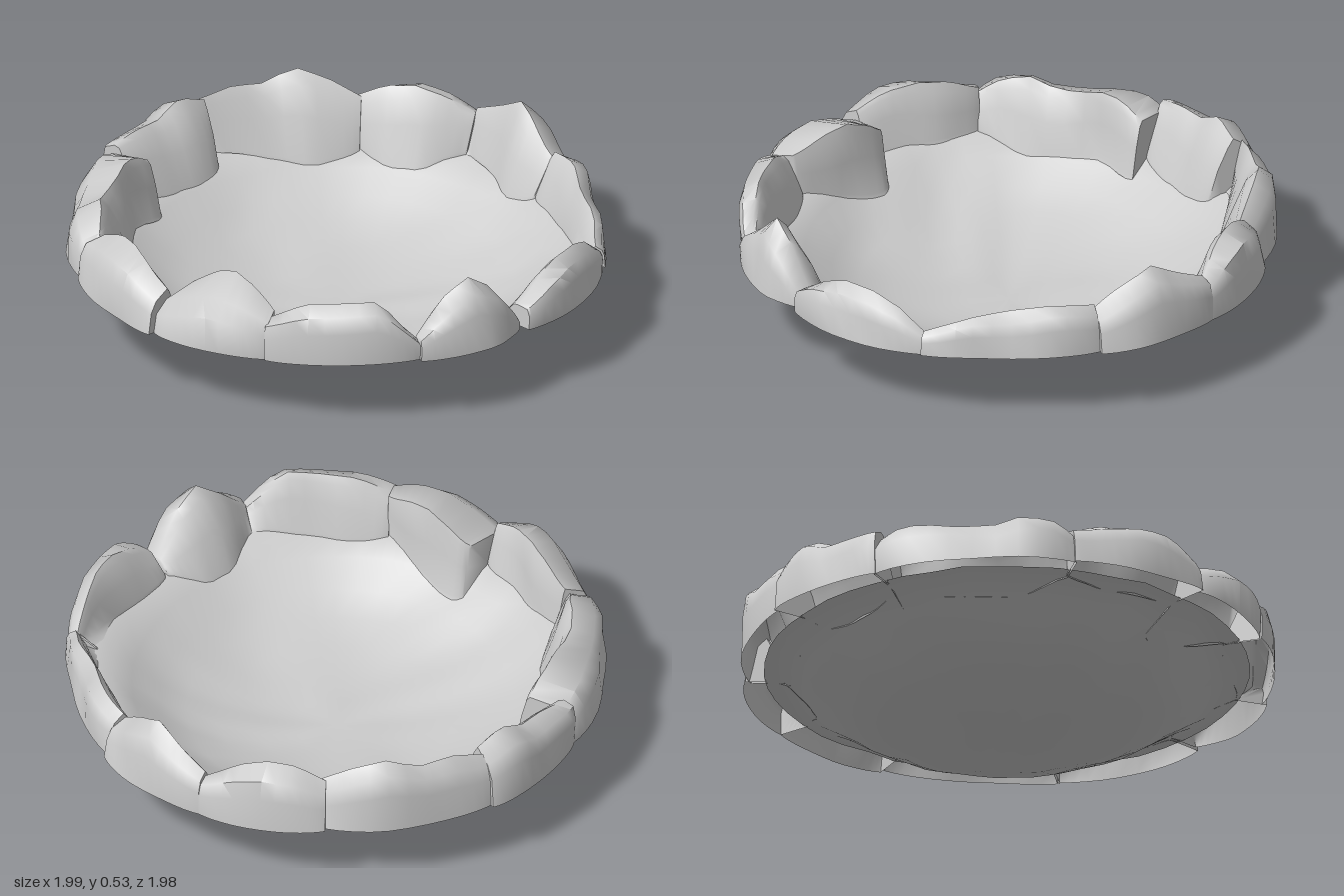
import * as THREE from 'three';
import { toCreasedNormals } from 'three/addons/utils/BufferGeometryUtils.js';

const stoneGrey = new THREE.MeshStandardMaterial({ color: 0xcccccc, side: THREE.DoubleSide });
stoneGrey.name = 'stone grey';

// smooth repeatable unevenness, about -1 to 1
const rough = (x, y, z) =>
  (Math.sin(x * 9.1 + z * 5.3 + 1.7) + Math.sin(z * 11.7 - x * 6.1 + y * 8) + Math.sin(y * 17 + x * 14 - z * 13)) / 3;

// profile of the dish: radius, height
const dish = [[0, 0.004], [0.15, 0.01], [0.28, 0.02], [0.42, 0.045], [0.54, 0.085], [0.64, 0.136], [0.74, 0.205], [0.81, 0.25], [0.88, 0.265]];

function dishHeight(r) {
  for (let i = 1; i < dish.length; i++) {
    const [r0, y0] = dish[i - 1], [r1, y1] = dish[i];
    if (r <= r1) return y0 + (y1 - y0) * (r - r0) / (r1 - r0);
  }
  return 0.265;
}

// value at t (0 to 1) along a list of evenly spaced values
function along(list, t) {
  const k = Math.min(t * (list.length - 1), list.length - 1.0001);
  const i = Math.floor(k);
  return list[i] + (list[i + 1] - list[i]) * (k - i);
}

// One stone, open underneath, lofted round the rim between two angles (degrees, from +x towards +z).
// crest lists where the ridge lies between the inner (0) and outer (1) edge.
function stone(name, from, to, inner, outer, tops, crest) {
  const pos = [], index = [], n = 14, m = 9;
  for (let i = 0; i <= n; i++) {
    const t = (1 - Math.cos(Math.PI * i / n)) / 2;
    const a = THREE.MathUtils.degToRad(from + (to - from) * t);
    const pinch = 0.1 * Math.abs(2 * t - 1) ** 8;
    const ri = along(inner, t), ro = along(outer, t), w = ro - ri;
    const a0 = ri + w * pinch, a1 = ro - w * pinch * 0.5, top = along(tops, t), c = along(crest, t);
    const foot = Math.min(a0, 0.86), base = dishHeight(a0) + 0.004, h = top - 0.26;
    const under = Math.max(foot, 0.84);
    const at = f => a0 + (a1 - a0) * f;
    const ring = [
      [foot, dishHeight(foot)], [at(0.02), base + 0.01], [at(c * 0.42), base + (top - base) * 0.52],
      [at(c * 0.75), base + (top - base) * 0.87], [at(c), top],
      [at(c + (1 - c) * 0.72), 0.26 + h * 0.85], [at(0.97), 0.26 + h * 0.56], [at(1), 0.258],
      [under, dishHeight(under)],   // middle of the end faces
    ];
    ring.forEach(([r, y], j) => {
      const d = j > 1 && j < 7 ? rough(r * Math.cos(a), y, r * Math.sin(a)) : 0;
      const rr = Math.min(r + d * 0.018, 1);
      pos.push(rr * Math.cos(a), j === 4 ? y : y + d * 0.016, rr * Math.sin(a));
    });
  }
  for (let i = 0; i < n; i++) for (let j = 0; j < m - 2; j++) {
    const p = i * m + j, q = p + 1;
    index.push(p, p + m, q, q, p + m, q + m);
  }
  // end faces
  for (let j = 0; j < m - 2; j++) {
    const e = n * m;
    index.push(m - 1, j, j + 1, e + m - 1, e + j + 1, e + j);
  }
  const g = new THREE.BufferGeometry();
  g.setAttribute('position', new THREE.Float32BufferAttribute(pos, 3));
  g.setIndex(index);
  const mesh = new THREE.Mesh(toCreasedNormals(g, 0.95), stoneGrey);
  mesh.name = name;
  return mesh;
}

function makeDish() {
  const g = new THREE.LatheGeometry(dish.map(([r, y]) => new THREE.Vector2(r, y)), 48);
  const p = g.attributes.position;
  for (let i = 0; i < p.count; i++) {
    const x = p.getX(i), y = p.getY(i), z = p.getZ(i);
    p.setY(i, Math.max(0, y + 0.009 * rough(x * 1.5, y, z * 1.5)));
  }
  const mesh = new THREE.Mesh(toCreasedNormals(g, 0.9), stoneGrey);
  mesh.name = 'dish';
  return mesh;
}

export function createModel() {
  const model = new THREE.Group();
  model.name = 'stoneRingPit';

  const ring = new THREE.Group();
  ring.name = 'stoneRing';
  ring.add(
    stone('leftStone', -14, 14.5, [0.86, 0.82, 0.76, 0.79], [0.99, 0.99, 1, 0.99], [0.42, 0.47, 0.53, 0.47, 0.4], [0.5, 0.62, 0.5]),
    stone('frontLeftLongStone', 14.5, 53.5, [0.8, 0.81, 0.84, 0.9], [0.97, 0.965, 0.96, 0.99], [0.42, 0.44, 0.42, 0.4, 0.34], [0.6, 0.6]),
    stone('frontLeftStone', 53, 87.5, [0.91, 0.86, 0.82, 0.81], [0.98, 1, 1, 0.98], [0.33, 0.41, 0.45, 0.45, 0.41, 0.34], [0.5, 0.55]),
    stone('frontStone', 88.5, 115, [0.81, 0.74, 0.75, 0.86], [0.95, 1, 1, 0.99], [0.3, 0.45, 0.52, 0.45, 0.34], [0.5, 0.65, 0.5]),
    stone('frontRightStone', 115, 149, [0.87, 0.82, 0.79, 0.8], [0.97, 0.97, 0.97, 0.97], [0.32, 0.48, 0.47, 0.46, 0.4], [0.55, 0.5]),
    stone('rightFrontStone', 148.5, 176.5, [0.82, 0.74, 0.69, 0.67], [0.96, 0.97, 0.98, 0.98], [0.41, 0.46, 0.48, 0.45, 0.39], [0.2, 0.1, 0.12]),
    stone('rightStone', 176.5, 207.5, [0.82, 0.81, 0.8, 0.83], [1, 0.985, 0.99, 0.98], [0.41, 0.46, 0.48, 0.47, 0.42], [0.35, 0.22]),
    stone('backRightStone', 207, 252.5, [0.82, 0.74, 0.745, 0.76, 0.7], [0.97, 0.985, 0.97, 0.98, 0.97], [0.39, 0.46, 0.47, 0.43, 0.45, 0.47, 0.46, 0.41], [0.45, 0.5, 0.25, 0.2]),
    stone('backStone', 252, 280.5, [0.8, 0.76, 0.75, 0.77], [0.97, 0.98, 0.99, 1], [0.44, 0.46, 0.46, 0.51, 0.47], [0.6, 0.55]),
    stone('backLeftStone', 280.5, 319, [0.87, 0.79, 0.74, 0.78], [0.98, 0.97, 0.97, 0.94], [0.46, 0.49, 0.48, 0.53, 0.49, 0.43], [0.6, 0.7, 0.6]),
    stone('leftBackStone', 318, 346, [0.8, 0.74, 0.75, 0.85], [0.96, 0.98, 0.99, 0.99], [0.43, 0.48, 0.49, 0.46, 0.4], [0.55, 0.5]),
  );

  model.add(makeDish(), ring);
  return model;
}
